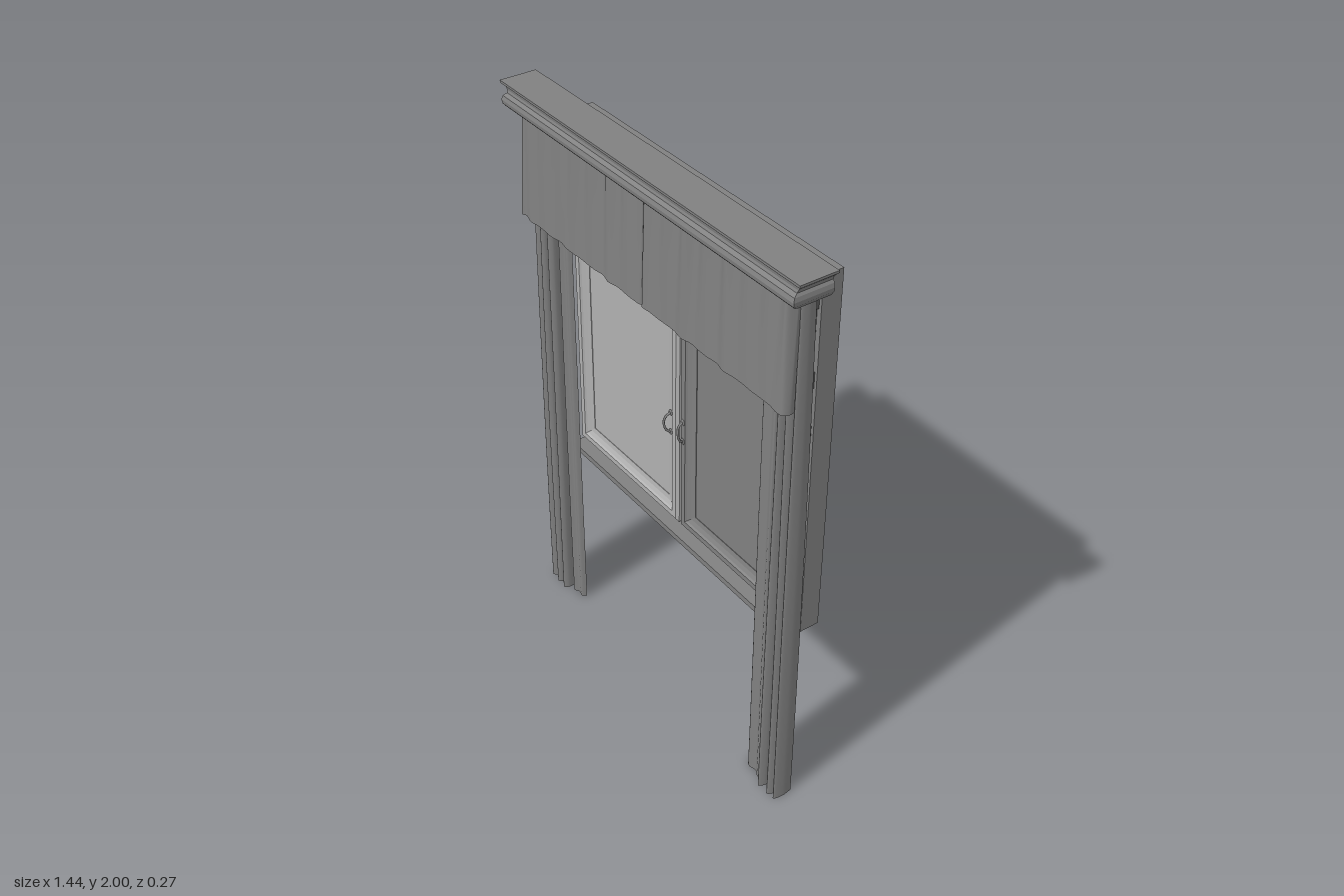
import * as THREE from 'three';
import { ParametricGeometry } from 'three/addons/geometries/ParametricGeometry.js';

const grey = new THREE.MeshStandardMaterial({ color: 0x808080 });
const lightGrey = new THREE.MeshStandardMaterial({ color: 0xb0b0b0 });
const darkGrey = new THREE.MeshStandardMaterial({ color: 0x585858 });
const cloth = new THREE.MeshStandardMaterial({ color: 0x808080, side: THREE.DoubleSide });

function add(parent, name, geometry, x = 0, y = 0, z = 0, material = grey) {
  const mesh = new THREE.Mesh(geometry, material);
  mesh.name = name;
  mesh.position.set(x, y, z);
  parent.add(mesh);
  return mesh;
}

function box(parent, name, x0, x1, y0, y1, z0, z1, material) {
  return add(parent, name, new THREE.BoxGeometry(x1 - x0, y1 - y0, z1 - z0),
    (x0 + x1) / 2, (y0 + y1) / 2, (z0 + z1) / 2, material);
}

// Skins a list of rectangles [x0, x1, y0, y1, z]; either capped or joined last to first.
function loftRects(rects, capped) {
  const corners = rects.map(([x0, x1, y0, y1, z]) => [[x0, y0, z], [x1, y0, z], [x1, y1, z], [x0, y1, z]]);
  const pos = [];
  const quad = (a, b, c, d) => pos.push(...a, ...b, ...c, ...a, ...c, ...d);
  const n = corners.length;
  for (let k = 0; k < (capped ? n - 1 : n); k++) {
    const a = corners[k], b = corners[(k + 1) % n];
    for (let i = 0; i < 4; i++) {
      const j = (i + 1) % 4;
      quad(a[i], a[j], b[j], b[i]);
    }
  }
  if (capped) {
    quad(...corners[n - 1]);
    quad(...corners[0].slice().reverse());
  }
  const geometry = new THREE.BufferGeometry();
  geometry.setAttribute('position', new THREE.Float32BufferAttribute(pos, 3));
  geometry.computeVertexNormals();
  return geometry;
}

// Hanging fabric: a plan curve of [x, z] points dropped from y1 to y0, shaped by a rule.
function drape(points, y0, y1, shape, slices) {
  const curve = new THREE.CatmullRomCurve3(points.map(([x, z]) => new THREE.Vector3(x, 0, z)), false, 'centripetal');
  return new ParametricGeometry((u, v, target) => {
    curve.getPoint(u, target);
    target.y = y0 + (y1 - y0) * v;
    shape(target, v, u);
  }, slices, 16);
}

function rectPath(Type, x0, x1, y0, y1) {
  return new Type([[x0, y0], [x1, y0], [x1, y1], [x0, y1]].map(([x, y]) => new THREE.Vector2(x, y)));
}

// Curved pull handle with two rosettes
function makeHandle(x, y, side) {
  const handle = new THREE.Group();
  handle.name = 'handle';
  const path = new THREE.CatmullRomCurve3([
    [0, -0.04, 0.002], [side * 0.004, -0.03, 0.014], [side * 0.006, 0, 0.023],
    [side * 0.002, 0.025, 0.018], [0, 0.035, 0.002]].map(p => new THREE.Vector3(...p)));
  add(handle, 'grip', new THREE.TubeGeometry(path, 20, 0.004, 8));
  for (const dy of [-0.04, 0.035]) {
    const rosette = add(handle, 'rosette', new THREE.SphereGeometry(0.01, 12, 8), 0, dy, 0);
    rosette.scale.set(1, 1.2, 0.35);
  }
  handle.position.set(x, y, -0.035);
  return handle;
}

// Sash: mitred moulded border, pane, hinges and handle
function makeSash(x0, x1, y0, y1, handleY, side, material) {
  const sash = new THREE.Group();
  sash.name = 'sash';
  const profile = [[0, -0.066], [0, -0.043], [0.01, -0.035], [0.03, -0.035], [0.036, -0.041],
    [0.05, -0.048], [0.068, -0.051], [0.068, -0.066]];
  const border = loftRects(profile.map(([o, z]) => [x0 + o, x1 - o, y0 + o, y1 - o, z]), false);
  add(sash, 'sashBorder', border, 0, 0, 0, material);
  box(sash, 'pane', x0 + 0.06, x1 - 0.06, y0 + 0.06, y1 - 0.06, -0.06, -0.053, material);
  const edge = side < 0 ? x0 : x1;
  const inset = 0.03 + 0.085 * (y1 - y0);
  for (const y of [y0 + inset, y1 - inset])
    box(sash, 'hinge', edge - 0.007, edge + 0.007, y - 0.027, y + 0.027, -0.069, -0.053, darkGrey);
  sash.add(makeHandle(side < 0 ? x1 - 0.037 : x0 + 0.018, handleY, side));
  return sash;
}

export function createModel() {
  const model = new THREE.Group();
  model.name = 'curtainedWindow';

  // Window frame with four openings
  const outline = rectPath(THREE.Shape, -0.61, 0.593, 0.614, 1.898);
  for (const [x0, x1] of [[-0.552, -0.067], [0.047, 0.532]])
    for (const [y0, y1] of [[0.675, 1.435], [1.535, 1.845]])
      outline.holes.push(rectPath(THREE.Path, x0, x1, y0, y1));
  add(model, 'windowFrame', new THREE.ExtrudeGeometry(outline, { depth: 0.07, bevelEnabled: false }), 0, 0, -0.135);
  box(model, 'sill', -0.6, 0.582, 0.617, 0.638, -0.066, -0.003);

  // Two tall sashes below two short ones
  for (const [x0, x1, side, material] of [[-0.598, -0.016, -1, lightGrey], [-0.006, 0.576, 1, grey]]) {
    model.add(makeSash(x0, x1, 0.65, 1.475, 1.045, side, material));
    model.add(makeSash(x0, x1, 1.495, 1.88, 1.7, side, grey));
  }

  // Cornice: moulding profile of [half width, depth, height]
  const cornice = loftRects([
    [0.695, 0.105, 1.913], [0.7, 0.12, 1.92], [0.707, 0.129, 1.93], [0.709, 0.131, 1.943],
    [0.706, 0.127, 1.956], [0.7, 0.115, 1.964], [0.702, 0.112, 1.972], [0.708, 0.113, 1.98],
    [0.717, 0.119, 1.988], [0.722, 0.125, 1.992], [0.722, 0.125, 2],
  ].map(([w, d, y]) => [-w, w, -d, 0.003, y]), true).rotateX(-Math.PI / 2);
  add(model, 'cornice', cornice);

  // Side curtains with deep folds, gathered a little towards the top
  const folds = [
    [0.49, 0.035], [0.51, 0.05], [0.54, 0.045], [0.565, 0.055], [0.574, 0.015], [0.585, 0.01],
    [0.588, 0.065], [0.6, 0.078], [0.61, 0.06], [0.612, 0.018], [0.623, 0.012], [0.628, 0.065],
    [0.638, 0.076], [0.648, 0.06], [0.65, 0.03], [0.656, 0.06], [0.668, 0.072], [0.676, 0.04], [0.672, 0.003],
  ];
  for (const side of [-1, 1]) {
    const shift = side < 0 ? 0.02 : 0;
    const geometry = drape(folds, 0.003, 1.915, (p, v, u) => {
      const bunch = shift * Math.sin(Math.PI * (p.x - 0.49) / 0.186);
      p.x = side * (p.x - bunch - 0.012 * u * v * v + 0.012 * Math.sin(v * 5 + u * 9 + side) * u * (1 - u));
      p.z = 0.04 + (p.z - 0.04) * (1 - 0.25 * v * v);
    }, 110);
    add(model, 'sideCurtain', geometry, 0, 0, 0, cloth);
  }

  // Valance in two halves, each returning towards the wall at its outer end and tucked in at the middle
  for (const side of [-1, 1]) {
    const plan = [[0.67, 0.072], [0.673, 0.09], [0.664, 0.108]];
    for (let i = 0; i <= 16; i++) {
      const t = i / 16;
      plan.push([0.645 - 0.64 * t, 0.107 + 0.006 * Math.sin(i * 2.3 + side) * (0.5 + 0.5 * Math.cos(i * 1.1))]);
    }
    plan.push([0.002, 0.09]);
    const geometry = drape(plan, 1.557, 1.915, (p, v, u) => {
      p.x = side * p.x * (1 - 0.012 * v) - 0.004;
      p.z += -0.014 * v + 0.005 * v * Math.sin(u * 55 + side);
    }, 110);
    add(model, 'valance', geometry, 0, 0, 0, cloth);
  }
  return model;
}
